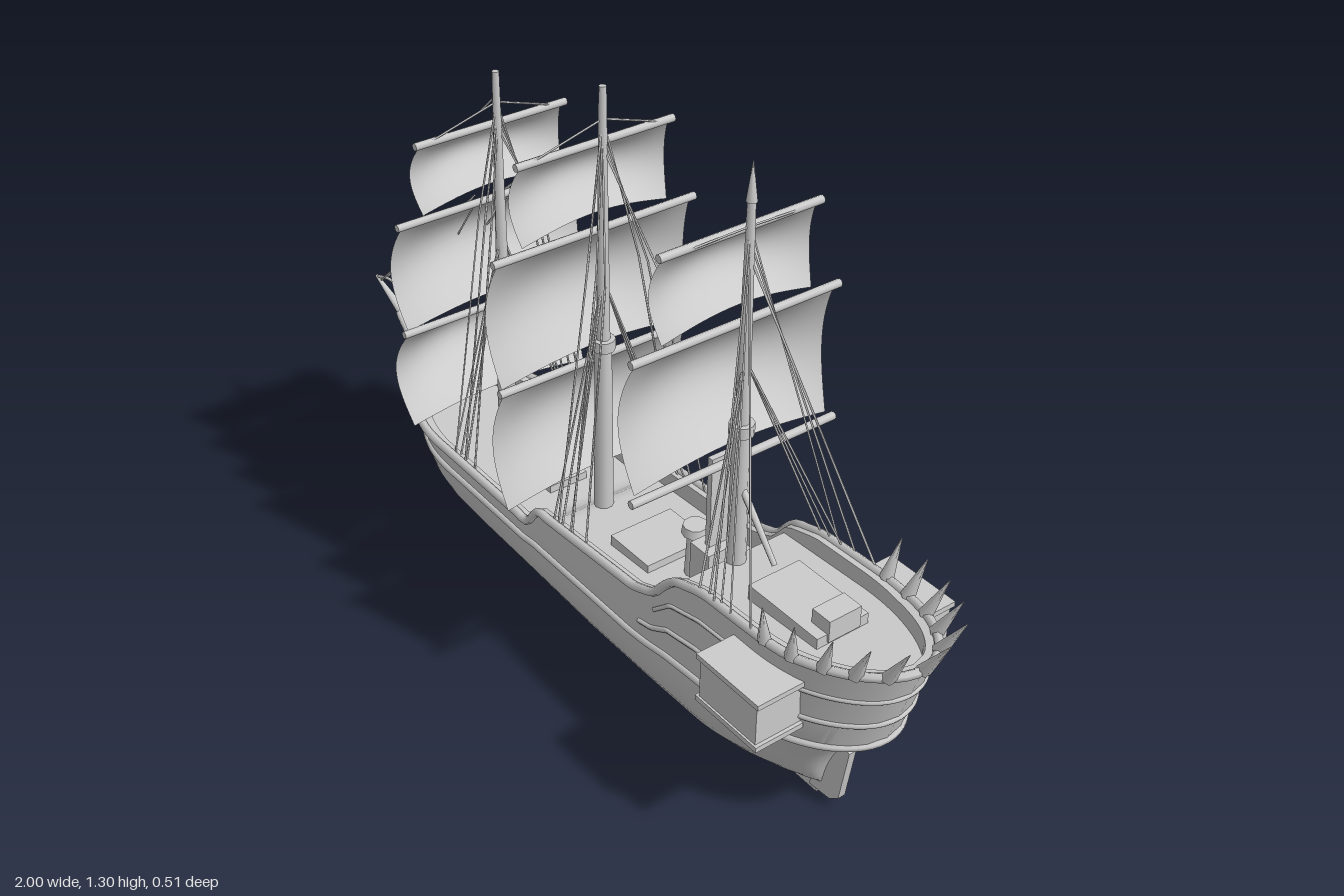
import * as THREE from 'three';
import { toCreasedNormals } from 'three/addons/utils/BufferGeometryUtils.js';

const mat = new THREE.MeshStandardMaterial({ color: 0xcccccc });
const thin = new THREE.MeshStandardMaterial({ color: 0xcccccc, side: THREE.DoubleSide });
const V = (x, y, z) => new THREE.Vector3(x, y, z);
const clamp = (v) => Math.min(1, Math.max(0, v));

// piecewise linear height along the ship
const along = (pts) => (x) => {
  if (x <= pts[0][0]) return pts[0][1];
  for (let i = 1; i < pts.length; i++) {
    const [x0, y0] = pts[i - 1], [x1, y1] = pts[i];
    if (x <= x1) return y0 + ((y1 - y0) * (x - x0)) / (x1 - x0);
  }
  return pts[pts.length - 1][1];
};
const keelY = along([[-0.66, 0.12], [-0.56, 0.08], [-0.3, 0.045], [0.1, 0.02], [0.5, 0.02], [0.72, 0.035]]);
const waleY = along([[-0.73, 0.26], [-0.4, 0.235], [0.3, 0.222], [0.85, 0.245]]);
const railY = along([[-0.75, 0.31], [-0.6, 0.287], [-0.08, 0.28], [-0.06, 0.325], [0.3, 0.345], [0.36, 0.37],
  [0.41, 0.43], [0.5, 0.457], [0.75, 0.467], [0.95, 0.495]]);
const deckY = along([[-0.08, 0.25], [-0.06, 0.28], [0.36, 0.3], [0.4, 0.41], [0.95, 0.44]]);

// plan outline: pointed-round bow at -x, round stern at +x
function plan(x, xb, xs) {
  const a = clamp((x - xb) / 0.27), b = clamp((xs - x) / 0.28);
  return Math.min(Math.pow(1 - (1 - a) ** 2, 0.65), Math.sqrt(1 - (1 - b) ** 2));
}

// hull rows from keel to deck centre: each maps s (0 bow .. 1 stern) to a point on the +z side
const rows = [];
const row = (xb, xs, yOf, wOf) => rows.push((s) => {
  const x = xb + (xs - xb) * s, y = yOf(x);
  return V(x, y, wOf(y) * plan(x, xb, xs));
});
for (let k = 0; k <= 9; k++) {
  const t = (k / 9) * Math.PI / 2, h = 1 - Math.cos(t);
  row(-0.56 - 0.12 * Math.sin(t), 0.72 + 0.1 * h ** 2, (x) => keelY(x) + (waleY(x) - keelY(x)) * h, () => 0.174 * Math.sin(t));
}
const WALE = rows.length - 1;
const side = (y) => 0.175 - 0.09 * (y - 0.24);
for (const f of [0.1, 0.4, 0.7, 1]) {
  row(-0.68 - 0.04 * f, 0.86 + 0.08 * f, (x) => waleY(x) + (railY(x) - waleY(x)) * f, side);
}
const RAIL = rows.length - 1;
row(-0.69, 0.915, railY, (y) => side(y) - 0.022);
row(-0.69, 0.915, deckY, (y) => side(y) - 0.024);
row(-0.69, 0.915, deckY, () => 0);

function hullGeometry() {
  const N = 90, n = rows.length - 1, W = 2 * n + 1, pos = [], idx = [];
  for (let i = 0; i <= N; i++) {
    const u = i / N, s = 0.5 * u + 0.25 * (1 - Math.cos(Math.PI * u));
    for (let j = -n; j <= n; j++) {
      const p = rows[Math.abs(j)](s);
      pos.push(p.x, p.y, j < 0 ? -p.z : p.z);
    }
  }
  for (let i = 0; i < N; i++) for (let j = 0; j < W - 1; j++) {
    const a = i * W + j, b = a + W;
    idx.push(a, b, b + 1, a, b + 1, a + 1);
  }
  const g = new THREE.BufferGeometry();
  g.setAttribute('position', new THREE.Float32BufferAttribute(pos, 3));
  g.setIndex(idx);
  return toCreasedNormals(g, 0.7);
}

export function createModel() {
  const ship = new THREE.Group();
  ship.name = 'sailingShip';
  const add = (name, geo, m = mat) => {
    const mesh = new THREE.Mesh(geo, m);
    mesh.name = name;
    ship.add(mesh);
    return mesh;
  };
  // tapered round bar between two points
  const rod = (name, a, b, r0, r1 = r0, sides = 8) => {
    const mesh = add(name, new THREE.CylinderGeometry(r1, r0, a.distanceTo(b), sides));
    mesh.position.copy(a).lerp(b, 0.5);
    mesh.quaternion.setFromUnitVectors(V(0, 1, 0), b.clone().sub(a).normalize());
    return mesh;
  };
  const line = (name, pts) => {
    for (let i = 1; i < pts.length; i++) rod(name, pts[i - 1], pts[i], 0.0024, 0.0024, 4);
  };
  const tube = (name, pts, r, seg = 24) =>
    add(name, new THREE.TubeGeometry(new THREE.CatmullRomCurve3(pts), seg, r, 6));
  const box = (name, w, h, d, x, y, z) => add(name, new THREE.BoxGeometry(w, h, d)).position.set(x, y, z);

  add('hull', hullGeometry());

  // mouldings that run round the hull
  const moulding = (name, r, fn, s0 = 0) => {
    const half = [];
    for (let i = 0; i <= 60; i++) half.push(fn(s0 + (1 - s0) * Math.sin((i / 60) * Math.PI / 2)));
    const other = half.slice(0, -1).reverse().map((p) => V(p.x, p.y, -p.z));
    tube(name, [...half, ...other], r, 200);
  };
  moulding('wale', 0.008, rows[WALE + 1]);
  moulding('rail', 0.01, rows[RAIL]);
  moulding('sternMoulding', 0.006, (s) => rows[WALE + 2](s), 0.64);
  moulding('upperSternMoulding', 0.005, (s) => rows[WALE + 3](s), 0.66);

  // keel and rudder
  box('keel', 1.0, 0.03, 0.014, 0.2, 0.016, 0);
  const rudder = new THREE.Shape([[0.68, 0.01], [0.74, 0.015], [0.765, 0.035], [0.785, 0.17], [0.75, 0.19], [0.7, 0.1]]
    .map(([x, y]) => new THREE.Vector2(x, y)));
  add('rudder', new THREE.ExtrudeGeometry(rudder, { depth: 0.018, bevelEnabled: false })).position.z = -0.009;

  // bowsprit, its arched rail and the bow ornaments
  rod('bowsprit', V(-0.62, 0.255, 0), V(-1, 0.413, 0), 0.032, 0.004, 10);
  tube('bowspritArch', [V(-0.99, 0.415, 0), V(-0.93, 0.432, 0), V(-0.86, 0.42, 0), V(-0.79, 0.385, 0), V(-0.765, 0.33, 0)], 0.004);
  for (const z of [-1, 1]) {
    tube('headRail', [V(-0.58, 0.28, z * 0.125), V(-0.67, 0.285, z * 0.075), V(-0.76, 0.315, z * 0.035), V(-0.88, 0.365, z * 0.01)], 0.009);
    tube('lowerHeadRail', [V(-0.6, 0.235, z * 0.115), V(-0.68, 0.235, z * 0.05), V(-0.78, 0.29, z * 0.02)], 0.011);
    const scroll = add('bowScroll', new THREE.TorusGeometry(0.03, 0.009, 6, 18));
    scroll.position.set(-0.675, 0.27, z * 0.078);
    scroll.rotation.y = z * -0.6;
    rod('bowSpike', V(-0.69, 0.255, z * 0.04), V(-0.82, 0.245, z * 0.045), 0.014, 0.001, 6);
    rod('lowerBowSpike', V(-0.64, 0.215, z * 0.035), V(-0.765, 0.185, z * 0.04), 0.016, 0.001, 6);

    // side galleries at the stern
    box('galleryBox', 0.165, 0.1, 0.11, 0.69, 0.365, z * 0.19);
    box('galleryRoof', 0.18, 0.012, 0.115, 0.69, 0.417, z * 0.192);
    box('gallerySill', 0.18, 0.012, 0.115, 0.69, 0.314, z * 0.192);
  }

  // ring of spikes on the stern rail
  for (const s of [0.845, 0.885, 0.925, 0.958, 0.985, 1]) for (const z of s === 1 ? [1] : [-1, 1]) {
    const p = rows[RAIL](s);
    p.z *= z;
    const out = V((p.x - 0.62) * 0.18, 0.095, p.z * 0.13);
    rod('sternSpike', p, p.clone().add(out), 0.015, 0.001, 6);
  }

  // deck fittings
  box('hatch', 0.13, 0.025, 0.16, 0.165, 0.3, 0);
  box('foreHatch', 0.1, 0.02, 0.1, -0.22, 0.258, 0);
  rod('capstan', V(0.285, 0.29, 0), V(0.285, 0.405, 0), 0.022, 0.017, 10);
  rod('capstanHead', V(0.285, 0.4, 0), V(0.285, 0.42, 0), 0.03, 0.027, 10);
  box('stovePlinth', 0.06, 0.13, 0.1, 0.36, 0.36, 0);
  box('stovePipe', 0.014, 0.24, 0.06, 0.36, 0.52, 0);
  box('cabinRoof', 0.2, 0.035, 0.13, 0.63, 0.435, 0);
  box('helmStand', 0.05, 0.05, 0.08, 0.71, 0.46, 0);
  rod('boom', V(0.42, 0.6, 0), V(0.53, 0.47, 0), 0.008, 0.006);

  // square sail bellied towards the bow
  const sail = (x, top, bottom, half, belly) => {
    const g = new THREE.PlaneGeometry(2, 1, 16, 14), p = g.attributes.position;
    for (let i = 0; i < p.count; i++) {
      const s = p.getX(i), t = 0.5 - p.getY(i), arc = Math.cos((s * Math.PI) / 2);
      const bulge = Math.sin(Math.PI * Math.pow(t, 0.9));
      p.setXYZ(i, x - 0.024 - belly * bulge * (0.4 + 0.6 * arc),
        top + (bottom - top) * t + 0.025 * arc * t * t, s * (half + 0.012 * bulge));
    }
    g.computeVertexNormals();
    add('sail', g, thin);
  };

  // masts: x, foot, top, then sails as [top, bottom, half width, belly]
  const masts = [
    { x: -0.415, foot: 0.24, top: 1.175, sails: [[1.04, 0.88, 0.18, 0.065], [0.865, 0.61, 0.235, 0.095], [0.6, 0.36, 0.235, 0.115]], pins: [-0.39, -0.35, -0.31], pinY: 0.28, knee: 0.86 },
    { x: -0.035, foot: 0.27, top: 1.28, sails: [[1.145, 0.97, 0.18, 0.065], [0.95, 0.66, 0.24, 0.08], [0.645, 0.35, 0.235, 0.08]], pins: [0.02, 0.07, 0.12], pinY: 0.33, knee: 0.9 },
    { x: 0.415, foot: 0.36, top: 1.24, sails: [[1.15, 0.97, 0.18, 0.065], [0.95, 0.66, 0.24, 0.09]], pins: [0.54, 0.59, 0.65], pinY: 0.46 },
  ];
  for (const m of masts) {
    const mid = m.foot + (m.top - m.foot) * 0.42;
    rod('lowerMast', V(m.x, m.foot, 0), V(m.x, mid, 0), 0.022, 0.018, 10);
    rod('mastTop', V(m.x, mid - 0.01, 0), V(m.x, mid + 0.015, 0), 0.026, 0.026, 10);
    rod('upperMast', V(m.x, mid, 0), V(m.x, m.top, 0), 0.015, 0.008, 8);
    const peak = m.top - 0.07;
    for (const [top, bottom, half, belly] of m.sails) {
      sail(m.x, top, bottom, half, belly);
      rod('yard', V(m.x - 0.022, top + 0.006, -half - 0.012), V(m.x - 0.022, top + 0.006, half + 0.012), 0.009);
    }
    for (const z of [-1, 1]) {
      line('yardLift', [V(m.x, peak, 0), V(m.x - 0.022, m.sails[0][0], z * 0.18)]);
      m.pins.forEach((px, i) => {
        const foot = V(px, m.pinY, z * 0.16);
        const knee = m.knee ? [V(m.x + (px - m.x) * 0.62, m.knee, z * 0.065)] : [];
        line('shroud', [V(m.x, peak - i * 0.03, 0), ...knee, foot]);
        line('innerShroud', [V(m.x, mid + 0.16, 0), V(m.x + (px - m.x) * 0.6, m.pinY, z * 0.155)]);
      });
    }
  }
  rod('mizzenSpire', V(0.415, 1.22, 0), V(0.415, 1.3, 0), 0.011, 0.001, 8);
  rod('lowerYard', V(0.4, 0.65, -0.255), V(0.4, 0.65, 0.255), 0.009);

  // stays from the foremast to the bowsprit
  [[-0.97, 0.415], [-0.91, 0.428], [-0.81, 0.4]].forEach(([x, y], i) => {
    for (const z of [-1, 1]) line('foreStay', [V(-0.437, 0.89 - (i === 2 ? 0.02 : 0), z * 0.05), V(x, y, z * 0.004)]);
  });
  line('topStay', [V(-0.415, 1.12, 0), V(-0.48, 1.06, 0)]);
  return ship;
}
